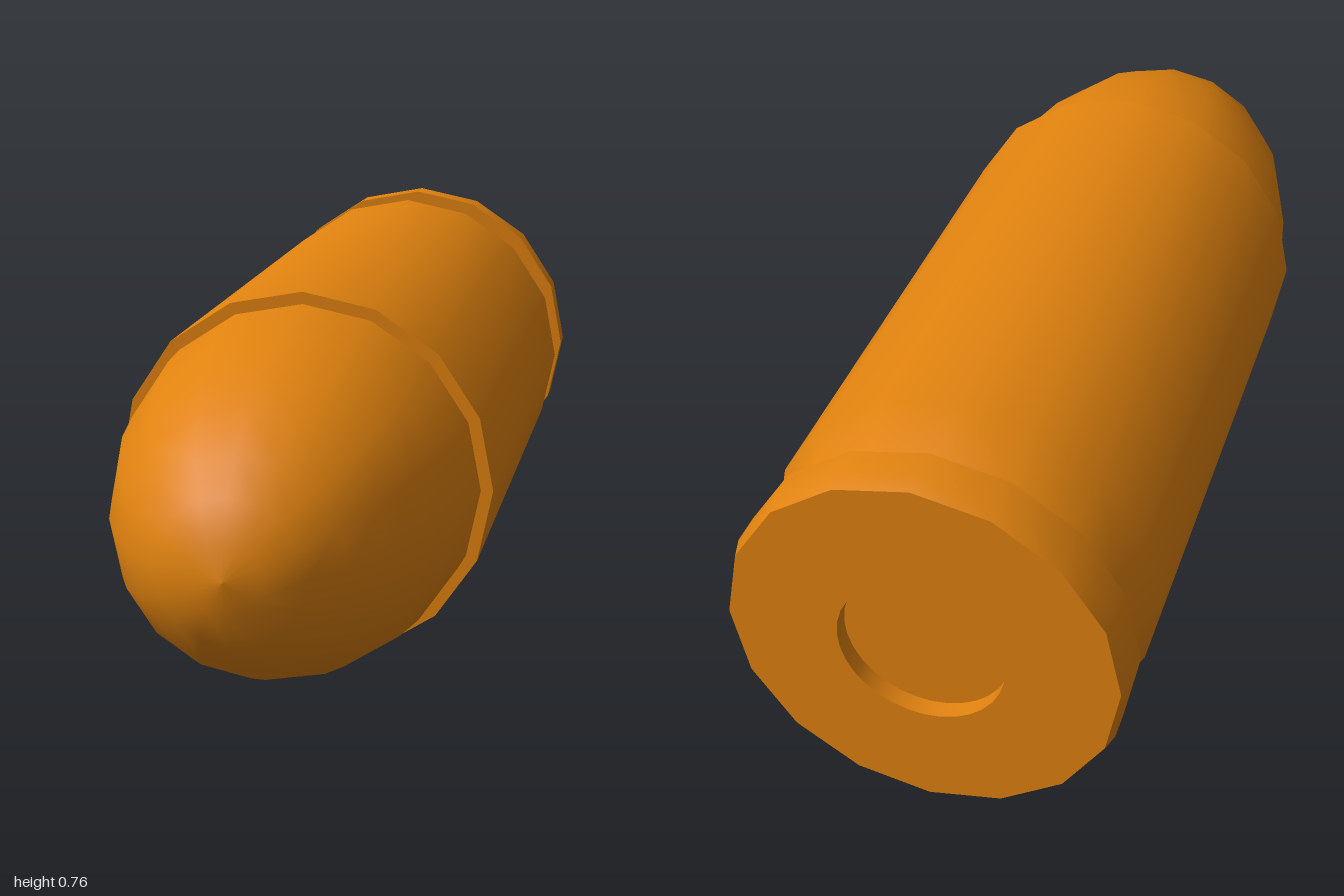
import * as THREE from 'three';

const material = new THREE.MeshStandardMaterial({ color: 0xe0820f });
const SIDES = 16;

// Revolve [radius, z] points (listed back to front) around the z axis
function revolve(name, profile, sides = SIDES) {
  const points = profile.map(([r, z]) => new THREE.Vector2(r, z));
  const geometry = new THREE.LatheGeometry(points, sides);
  geometry.rotateX(Math.PI / 2);
  const mesh = new THREE.Mesh(geometry, material);
  mesh.name = name;
  return mesh;
}

// Corner points of a regular polygon
function polygon(radius, sides) {
  return Array.from({ length: sides }, (_, i) => {
    const a = (i / sides) * Math.PI * 2;
    return new THREE.Vector2(radius * Math.cos(a), radius * Math.sin(a));
  });
}

export function createModel() {
  const group = new THREE.Group();
  group.name = 'cartridge';
  const R = 0.382, groove = 0.346, tipR = 0.36, primerR = 0.16;
  const back = -1, rimFront = -0.905, mouth = 0.395;

  // Flat base with a round opening for the primer
  const face = new THREE.Shape(polygon(0.372, SIDES));
  face.holes.push(new THREE.Path(polygon(primerR, 32)));
  const base = new THREE.Mesh(new THREE.ShapeGeometry(face), material);
  base.name = 'base';
  base.rotation.y = Math.PI;
  base.position.z = back;
  group.add(base);

  // Primer pocket: floor and inward-facing wall
  group.add(
    revolve('primer', [[0, back + 0.035], [primerR, back + 0.035]], 32),
    revolve('primerWall', [[primerR, back + 0.035], [primerR, back]], 32),
  );

  // Rim with bevelled rear edge, and its step down to the groove
  group.add(
    revolve('rim', [[0.372, back], [R, -0.965], [R, rimFront]]),
    revolve('rimShoulder', [[R, rimFront], [groove, rimFront]]),
  );

  // Case: groove, taper and straight wall, then the mouth lip
  group.add(
    revolve('case', [[groove, rimFront], [groove, -0.86], [R, -0.76], [R, mouth]]),
    revolve('caseMouth', [[R, mouth], [0.35, mouth]]),
  );

  // Rounded tip: half an ellipse seated slightly inside the case
  const tip = [];
  for (let i = 0; i <= 8; i++) {
    const a = (i / 8) * Math.PI / 2;
    tip.push([i === 8 ? 0 : tipR * Math.cos(a), 0.35 + 0.65 * Math.sin(a)]);
  }
  group.add(revolve('tip', tip));

  // Rest on the ground
  group.children.forEach((part) => { part.position.y = R; });
  return group;
}
